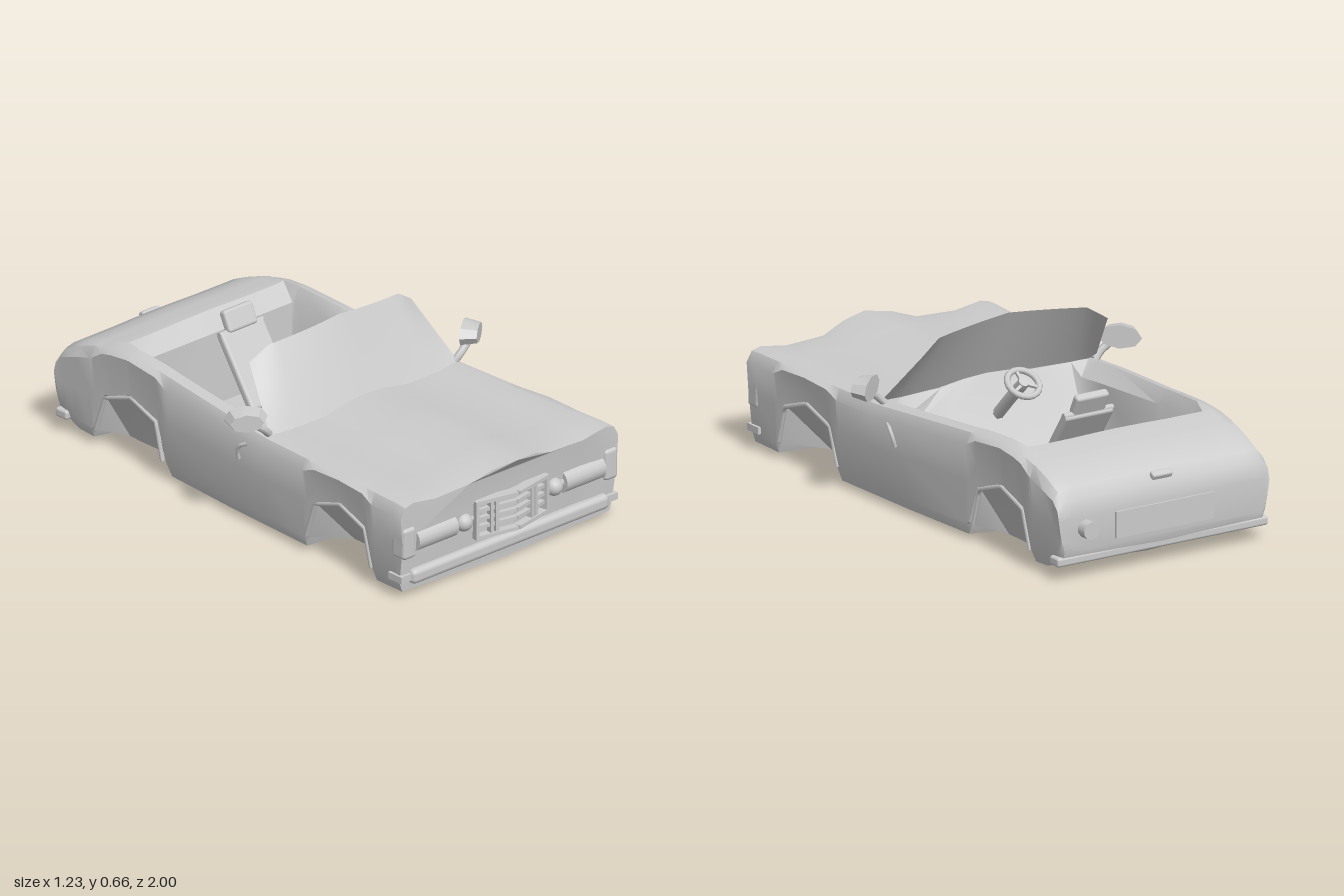
import * as THREE from 'three';
import { toCreasedNormals } from 'three/addons/utils/BufferGeometryUtils.js';
import { RoundedBoxGeometry } from 'three/addons/geometries/RoundedBoxGeometry.js';

const grey = new THREE.MeshStandardMaterial({ color: 0xcccccc });
const thin = new THREE.MeshStandardMaterial({ color: 0xcccccc, side: THREE.DoubleSide });
const V = (x, y, z) => new THREE.Vector3(x, y, z);
const lerp = THREE.MathUtils.lerp;

export function createModel() {
  const car = new THREE.Group();
  car.name = 'convertible';
  const add = (name, geo, x = 0, y = 0, z = 0, rx = 0, ry = 0, rz = 0, parent = car, mat = grey) => {
    const m = new THREE.Mesh(geo, mat);
    m.name = name;
    m.position.set(x, y, z);
    m.rotation.set(rx, ry, rz);
    parent.add(m);
    return m;
  };
  const box = (w, h, d) => new THREE.BoxGeometry(w, h, d);
  const soft = (w, h, d, r) => new RoundedBoxGeometry(w, h, d, 2, r);
  const tube = (pts, r, n = 10) => new THREE.TubeGeometry(new THREE.CatmullRomCurve3(pts), n, r, 6);

  // Body: mirrored cross-sections lofted from nose to tail
  const halfWidth = z => z > 0 ? lerp(0.487, 0.53, z / 0.945) : lerp(0.487, 0.45, Math.min(1, -z / 0.5));
  // [z, underside, wheel-arch edge, shoulder, type, deck or floor height, crest]
  const stations = [
    [0.945, 0.02, 0.025, 0.372, 'hood', 0.355, 0.052],
    [0.90, 0.018, 0.025, 0.375, 'hood', 0.362, 0.046],
    [0.785, 0.016, 0.022, 0.375, 'hood', 0.364, 0.043],
    [0.77, 0.015, 0.06, 0.375, 'hood', 0.364, 0.042],
    [0.73, 0.015, 0.205, 0.375, 'hood', 0.364, 0.041],
    [0.60, 0.015, 0.25, 0.375, 'hood', 0.365, 0.038],
    [0.465, 0.015, 0.20, 0.374, 'hood', 0.366, 0.035],
    [0.415, 0.015, 0.06, 0.374, 'hood', 0.366, 0.034],
    [0.40, 0.015, 0.02, 0.374, 'hood', 0.366, 0.033],
    [0.19, 0.015, 0.02, 0.374, 'hood', 0.37, 0.025],
    [0.13, 0.015, 0.02, 0.378, 'cabin', 0.28, 0],
    [0.0, 0.015, 0.02, 0.39, 'cabin', 0.10, 0],
    [-0.355, 0.015, 0.02, 0.415, 'cabin', 0.10, 0],
    [-0.375, 0.015, 0.06, 0.417, 'cabin', 0.10, 0],
    [-0.425, 0.015, 0.205, 0.422, 'cabin', 0.10, 0],
    [-0.57, 0.015, 0.25, 0.43, 'cabin', 0.10, 0],
    [-0.58, 0.015, 0.248, 0.43, 'deck', 0.375, 0],
    [-0.66, 0.015, 0.222, 0.425, 'deck', 0.42, 0.004],
    [-0.71, 0.018, 0.205, 0.415, 'deck', 0.414, 0.004],
    [-0.76, 0.02, 0.06, 0.402, 'deck', 0.402, 0.004],
    [-0.775, 0.022, 0.03, 0.40, 'deck', 0.40, 0.004],
    [-0.85, 0.03, 0.035, 0.373, 'deck', 0.373, 0.004],
    [-0.92, 0.06, 0.065, 0.34, 'deck', 0.34, 0.004],
    [-0.95, 0.08, 0.085, 0.30, 'deck', 0.30, 0.002],
    [-0.96, 0.11, 0.115, 0.25, 'deck', 0.25, 0],
  ];
  const ringAt = ([z, under, arch, top, type, h, crest]) => {
    const w = halfWidth(z), rim = type === 'cabin';
    const half = [
      [0, under - 0.014], [0.31, under], [w - 0.025, arch],
      [w - 0.012, Math.max(arch + 0.014, under + 0.045)],
      [w - 0.008, lerp(Math.max(arch + 0.014, 0.1), top, 0.4)], [w, lerp(arch, top, 0.86)],
      [w - 0.022, top - 0.01], [w - 0.06, top],
      [rim ? 0.365 : 0.36, rim ? top - 0.05 : h],
      [rim ? 0.345 : 0.2, h + crest * 0.12], [rim ? 0.2 : 0.1, h + crest * 0.75], [0, h + crest],
    ];
    const ring = [...half, ...half.slice(1, -1).reverse().map(([x, y]) => [-x, y])];
    // pointed nose and tucked-in valance on the first section
    return ring.map(([x, y]) => {
      const nose = z > 0.94 ? (y > 0.3 ? 0.045 * Math.max(0, 1 - Math.abs(x) / 0.22) : y < 0.1 ? -0.02 : 0) : 0;
      return V(x, y, z + nose);
    });
  };
  const rings = stations.map(ringAt), n = rings[0].length, index = [];
  for (let i = 0; i < rings.length - 1; i++) {
    for (let j = 0; j < n; j++) {
      const a = i * n + j, b = i * n + (j + 1) % n;
      index.push(a, a + n, b, b, a + n, b + n);
    }
  }
  const cap = (k, flip) => {
    const outline = rings[k].map(p => new THREE.Vector2(p.x, p.y));
    for (const [a, b, c] of THREE.ShapeUtils.triangulateShape(outline, [])) {
      const o = k * n;
      index.push(o + a, o + (flip ? c : b), o + (flip ? b : c));
    }
  };
  cap(0, false);
  cap(rings.length - 1, true);
  const body = new THREE.BufferGeometry().setFromPoints(rings.flat());
  body.setIndex(index);
  add('body', toCreasedNormals(body, 0.6));

  // Windshield: a curved sheet leaning back
  const glass = new THREE.PlaneGeometry(2, 1, 20, 6), gp = glass.attributes.position;
  for (let i = 0; i < gp.count; i++) {
    const u = gp.getX(i), v = gp.getY(i) + 0.5, x = Math.abs(u) * 0.395;
    const top = x < 0.316 ? 0.66 - 0.03 * x / 0.316 : 0.63 - 0.05 * (x - 0.316) / 0.079;
    gp.setXYZ(i, u * lerp(0.46, 0.395, v), lerp(0.37, top, v), lerp(0.205 - 0.02 * u * u, 0.05 - 0.045 * u * u, v));
  }
  glass.computeVertexNormals();
  add('windshield', glass, 0, 0, 0, 0, 0, 0, car, thin);

  // Grille: two angled halves meeting at the nose
  const grille = new THREE.Group();
  grille.name = 'grille';
  car.add(grille);
  for (const s of [-1, 1]) {
    const wing = new THREE.Group();
    wing.name = 'grilleHalf';
    wing.position.set(0, 0.21, 0.978);
    wing.rotation.y = s * 0.2;
    grille.add(wing);
    add('grilleBack', box(0.17, 0.14, 0.02), s * 0.085, 0, -0.02, 0, 0, 0, wing);
    for (const y of [-0.068, 0.068]) add('grilleFrame', box(0.176, 0.014, 0.04), s * 0.088, y, 0, 0, 0, 0, wing);
    for (const y of [-0.032, 0, 0.032]) add('grilleBar', box(0.17, 0.013, 0.018), s * 0.085, y, 0, 0, 0, 0, wing);
    for (const x of [0.085, 0.107]) add('grillePost', box(0.014, 0.13, 0.03), s * x, 0, 0, 0, 0, 0, wing);
    add('grilleSide', box(0.014, 0.15, 0.04), s * 0.171, 0, 0, 0, 0, 0, wing);
  }

  // Bumpers
  add('frontBumper', soft(0.96, 0.058, 0.05, 0.02), 0, 0.08, 0.935);
  add('rearBumper', soft(0.9, 0.035, 0.06, 0.01), 0, 0.075, -0.925);

  for (const s of [-1, 1]) {
    // Lamps
    add('headlight', new THREE.CylinderGeometry(0.045, 0.045, 0.19, 16), s * 0.36, 0.215, 0.92, 0, 0, Math.PI / 2);
    add('lampLink', new THREE.CylinderGeometry(0.018, 0.018, 0.1, 10), s * 0.225, 0.215, 0.93, 0, 0, Math.PI / 2);
    add('roundLamp', new THREE.SphereGeometry(0.034, 14, 10), s * 0.22, 0.215, 0.94);
    add('cornerLamp', soft(0.062, 0.122, 0.07, 0.015), s * 0.492, 0.22, 0.92);
    add('bumperEnd', box(0.05, 0.026, 0.07), s * 0.503, 0.082, 0.91);

    // Wheel arch lips
    for (const zc of [0.597, -0.567]) {
      const outline = [[0.172, 0.07], [0.134, 0.21], [0, 0.257], [-0.138, 0.21], [-0.186, 0.07]];
      const path = new THREE.CurvePath();
      const pts = outline.map(([d, y]) => V(s * (halfWidth(zc + d) - 0.013), y, zc + d));
      for (let i = 0; i < 4; i++) path.add(new THREE.LineCurve3(pts[i], pts[i + 1]));
      add('archLip', new THREE.TubeGeometry(path, 24, 0.009, 5));
    }

    // Door handle and mirror
    add('doorHandle', tube([V(s * 0.488, 0.32, 0.095), V(s * 0.497, 0.305, 0.065), V(s * 0.494, 0.275, 0.05), V(s * 0.486, 0.245, 0.048)], 0.008));
    add('mirrorStem', tube([V(s * 0.45, 0.37, 0.17), V(s * 0.475, 0.395, 0.175), V(s * 0.515, 0.425, 0.17)], 0.015));
    const shell = new THREE.CylinderGeometry(0.038, 0.05, 0.06, 8);
    shell.scale(1.6, 1, 0.9);
    shell.rotateX(Math.PI / 2);
    add('mirror', toCreasedNormals(shell, 0.5), s * 0.548, 0.45, 0.155, 0, s * 0.65, s * -0.06);
  }

  // Seat
  add('seatCushion', soft(0.26, 0.07, 0.2, 0.015), 0, 0.135, -0.28);
  add('seatBack', soft(0.21, 0.3, 0.035, 0.012), 0, 0.31, -0.385, -0.6);
  add('headrest', soft(0.14, 0.085, 0.035, 0.012), 0, 0.468, -0.475, -0.45);
  add('headrestBar', new THREE.CylinderGeometry(0.012, 0.012, 0.21, 8), 0, 0.43, -0.465, 0, 0, Math.PI / 2);

  // Steering wheel and column
  const wheel = new THREE.Group();
  wheel.name = 'steeringWheel';
  wheel.position.set(0, 0.42, -0.045);
  wheel.rotation.x = 0.95;
  wheel.scale.setScalar(0.85);
  car.add(wheel);
  add('wheelRim', new THREE.TorusGeometry(0.072, 0.014, 8, 18), 0, 0, 0, 0, 0, 0, wheel);
  add('wheelHub', new THREE.CylinderGeometry(0.024, 0.024, 0.025, 10), 0, 0, 0, Math.PI / 2, 0, 0, wheel);
  for (let i = 0; i < 3; i++) {
    const a = Math.PI / 2 + i * Math.PI * 2 / 3;
    add('wheelSpoke', box(0.06, 0.014, 0.012), Math.cos(a) * 0.04, Math.sin(a) * 0.04, 0, 0, 0, a, wheel);
  }
  add('steeringColumn', tube([V(0, 0.42, -0.045), V(0, 0.35, 0.03), V(0, 0.25, 0.13)], 0.022));

  // Tail: plate panel, boot handle, exhaust
  add('rearPanel', box(0.42, 0.1, 0.012), 0, 0.18, -0.962);
  add('bootHandle', soft(0.085, 0.025, 0.03, 0.008), 0, 0.328, -0.94, -0.5);
  add('exhaust', new THREE.CylinderGeometry(0.034, 0.034, 0.06, 10), 0.335, 0.19, -0.97, Math.PI / 2);
  return car;
}
